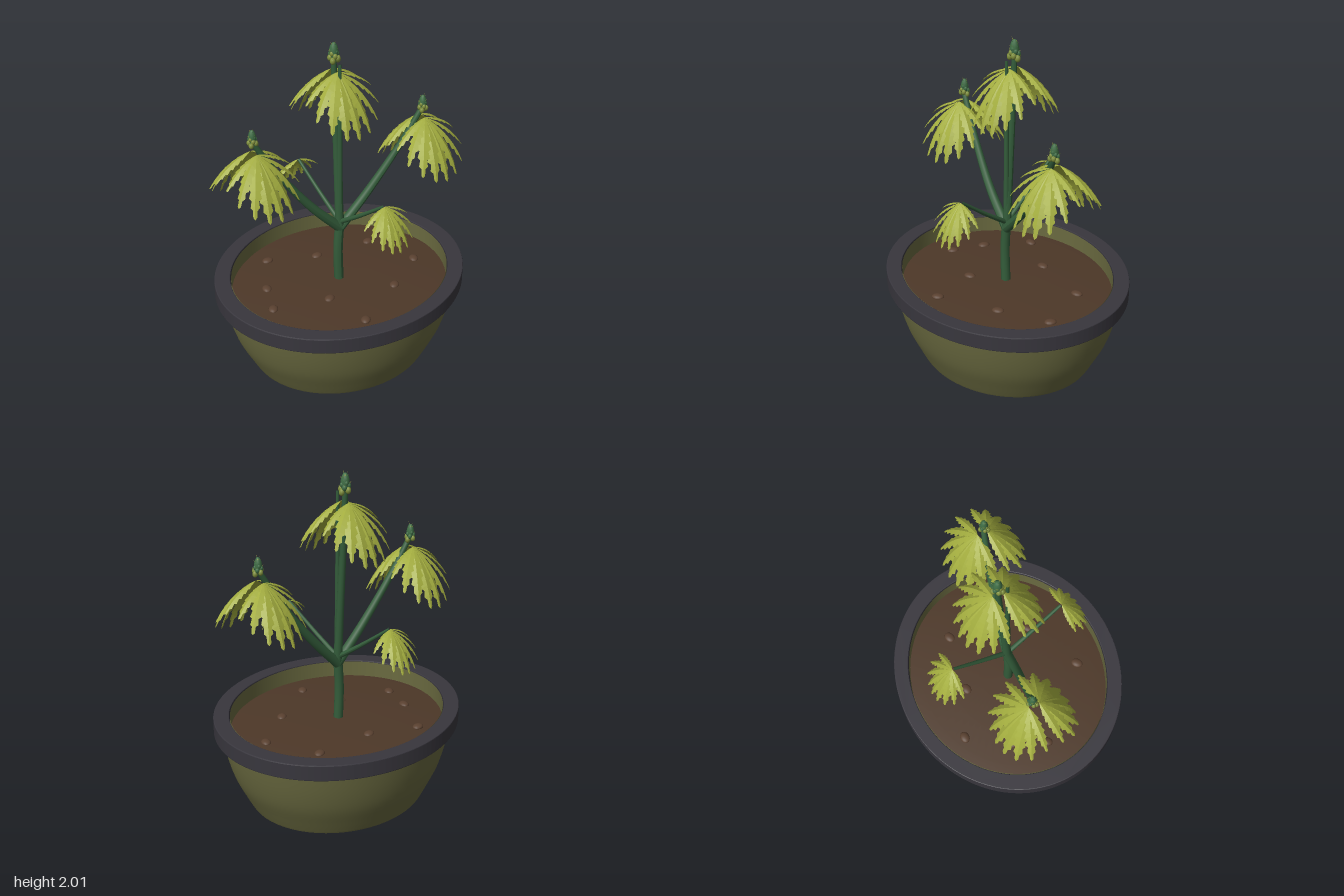
import * as THREE from 'three';

const mat = (name, color, side = THREE.FrontSide) =>
  Object.assign(new THREE.MeshStandardMaterial({ color, side }), { name });

export function createModel() {
  const root = new THREE.Group();
  root.name = 'pottedPlant';
  const M = {
    pot: mat('olive pot', 0x6a6a40, THREE.DoubleSide),
    rim: mat('charcoal rim', 0x38363d),
    soil: mat('dark soil', 0x4d3828, THREE.DoubleSide),
    pebble: mat('brown pebble', 0x5a4130),
    stem: mat('stem green', 0x335c3a),
    leaf: mat('leaf green', 0xa3ad3f, THREE.DoubleSide),
    budLight: mat('bud olive', 0x7f8f3c),
    budDark: mat('bud green', 0x3f6d45),
    hair: mat('bud hair', 0x9aa04a),
  };
  const add = (parent, name, geo, material, x = 0, y = 0, z = 0) => {
    const m = new THREE.Mesh(geo, material);
    m.name = name;
    m.position.set(x, y, z);
    parent.add(m);
    return m;
  };
  const lathe = (pts) => new THREE.LatheGeometry(pts.map(([r, y]) => new THREE.Vector2(r, y)), 64);

  // Oval pot: open wall, inner collar, rim and soil
  const DEPTH = 0.885;
  const pot = new THREE.Group();
  pot.name = 'pot';
  pot.scale.z = DEPTH;
  root.add(pot);
  const wall = new THREE.SplineCurve([[0.575, 0.012], [0.61, 0.08], [0.668, 0.2], [0.707, 0.33], [0.735, 0.47]]
    .map(([x, y]) => new THREE.Vector2(x, y)));
  add(pot, 'potWall', new THREE.LatheGeometry(wall.getPoints(16), 64), M.pot);
  add(pot, 'potFoot', lathe([[0.568, 0], [0.575, 0.012]]), M.pot);
  add(pot, 'innerCollar', lathe([[0.678, 0.44], [0.678, 0.55]]), M.pot);

  const ring = new THREE.Shape().absarc(0, 0, 0.775, 0, Math.PI * 2);
  ring.holes.push(new THREE.Path().absarc(0, 0, 0.687, 0, Math.PI * 2, true));
  const rimGeo = new THREE.ExtrudeGeometry(ring, {
    depth: 0.086, bevelSize: 0.005, bevelThickness: 0.005, bevelSegments: 2, curveSegments: 64,
  });
  rimGeo.rotateX(-Math.PI / 2);
  add(pot, 'rim', rimGeo, M.rim, 0, 0.465, 0);
  add(pot, 'soil', lathe([[0.68, 0.45], [0.6, 0.457], [0.4, 0.468], [0.2, 0.474], [0, 0.476]]), M.soil);

  // Pebbles on the soil
  const pebbleGeo = new THREE.SphereGeometry(0.037, 14, 10).scale(1, 0.45, 0.78);
  [[-0.25, -0.42], [0.025, -0.275], [0.385, -0.22], [-0.18, 0.14], [0.22, 0.255],
    [-0.13, 0.425], [-0.5, 0.02], [0.5, 0.1], [-0.42, -0.17]].forEach(([x, z], i) => {
    add(root, 'pebble', pebbleGeo, M.pebble, x, 0.472 - 0.04 * (x * x + z * z), z).rotation.y = i * 0.15;
  });

  // Tapered stems along a curve
  const stem = (name, pts, r0, r1, seg = 20, sides = 12) => {
    const curve = new THREE.CatmullRomCurve3(pts.map((p) => new THREE.Vector3(...p)));
    const geo = new THREE.TubeGeometry(curve, seg, r0, sides);
    const pos = geo.attributes.position;
    const v = new THREE.Vector3();
    for (let i = 0; i < pos.count; i++) {
      const t = Math.floor(i / (sides + 1)) / seg;
      const c = curve.getPointAt(t);
      v.fromBufferAttribute(pos, i).sub(c).multiplyScalar(THREE.MathUtils.lerp(1, r1 / r0, t)).add(c);
      pos.setXYZ(i, v.x, v.y, v.z);
    }
    geo.computeVertexNormals();
    add(root, name, geo, M.stem);
  };
  stem('trunk', [[-0.006, 0.45, 0], [-0.014, 0.68, 0], [0, 0.88, 0]], 0.029, 0.028);
  stem('centreStake', [[0, 0.8, 0], [0, 1.4, 0], [0, 1.88, 0]], 0.02, 0.009);
  stem('centreBranch', [[0, 0.82, 0], [0, 1.2, -0.022], [0, 1.6, -0.045], [0, 1.9, -0.058]], 0.027, 0.016);

  // Drooping palmate leaf: nine toothed leaflets folded along the midrib, facing +z
  const leafGeometry = () => {
    const out = [];
    const TEETH = 7, ROWS = TEETH * 2;
    for (let k = -4; k <= 4; k++) {
      const az = (k / 4) * 1.5;
      const c = Math.cos(az);
      const len = 0.26 + 0.145 * c;
      const h = new THREE.Vector3(Math.sin(az), 0, c);
      const side = new THREE.Vector3(c, 0, -Math.sin(az));
      const p = new THREE.Vector3(0, 0, 0.02);
      const rows = [];
      for (let i = 0; i <= ROWS; i++) {
        const t = i / ROWS;
        const pitch = 0.14 + 0.5 * c + 0.68 * t;
        const tangent = h.clone().multiplyScalar(Math.cos(pitch));
        tangent.y = -Math.sin(pitch);
        const normal = h.clone().multiplyScalar(Math.sin(pitch));
        normal.y = Math.cos(pitch);
        if (i) p.addScaledVector(tangent, len / ROWS);
        // Wide teeth on odd rows, notches on even rows
        const w = len * 0.1 * Math.pow(Math.sin(Math.PI * Math.pow(t, 0.85)), 0.8) * (i % 2 ? 1.12 : 0.74);
        const edge = (s) => p.clone().addScaledVector(side, s * w).addScaledVector(normal, -0.38 * w)
          .addScaledVector(tangent, i % 2 ? 0.012 : 0);
        rows.push([edge(-1), p.clone(), edge(1)]);
      }
      for (let i = 0; i < ROWS; i++) {
        for (let j = 0; j < 2; j++) {
          const [a, b, d, e] = [rows[i][j], rows[i][j + 1], rows[i + 1][j], rows[i + 1][j + 1]];
          for (const q of [a, d, b, b, d, e]) out.push(q.x, q.y, q.z);
        }
      }
    }
    const geo = new THREE.BufferGeometry();
    geo.setAttribute('position', new THREE.Float32BufferAttribute(out, 3));
    geo.computeVertexNormals();
    return geo;
  };
  const leafGeo = leafGeometry();
  const leaf = (name, x, y, z, turn, size = 1) => {
    const m = add(root, name, leafGeo, M.leaf, x, y, z);
    m.rotation.y = turn;
    m.scale.setScalar(size);
  };

  // Flower bud: spiral of shrinking bracts with fine hairs
  const ball = new THREE.SphereGeometry(1, 10, 8);
  const hairGeo = new THREE.ConeGeometry(0.0025, 0.026, 4).translate(0, 0.013, 0);
  const bud = (x, y, z, size) => {
    const g = new THREE.Group();
    g.name = 'bud';
    g.position.set(x, y, z);
    g.scale.setScalar(size);
    root.add(g);
    add(g, 'budCore', ball, M.budDark, 0, 0.055, 0).scale.set(0.026, 0.062, 0.026);
    for (let i = 0; i < 20; i++) {
      const t = i / 19, a = i * 2.4, r = 0.027 * (1 - 0.75 * t);
      const px = Math.cos(a) * r, pz = Math.sin(a) * r, py = 0.012 + 0.092 * t;
      const s = 0.0165 - 0.008 * t;
      add(g, 'bract', ball, i % 3 && t > 0.25 ? M.budDark : M.budLight, px, py, pz).scale.set(s, s * 1.25, s);
      if (i % 2) {
        const hair = add(g, 'budHair', hairGeo, M.hair, px, py + 0.006, pz);
        hair.quaternion.setFromUnitVectors(new THREE.Vector3(0, 1, 0),
          new THREE.Vector3(Math.cos(a), 0.9 + t, Math.sin(a)).normalize());
      }
    }
  };

  // Top crown
  leaf('crownLeafFront', 0, 1.825, -0.045, 0);
  leaf('crownLeafBack', 0, 1.825, -0.065, Math.PI);
  bud(0, 1.872, -0.057, 1.02);

  // Side branches with crowns, and small low leaves on thin stalks
  for (const s of [1, -1]) {
    stem('sideBranch', [[0, 0.83, 0], [s * 0.18, 1.02, s * 0.025], [s * 0.38, 1.29, s * 0.07],
      [s * 0.512, 1.51, s * 0.105]], 0.03, 0.016);
    leaf('sideLeafFront', s * 0.515, 1.455, s * 0.1 + 0.01, s > 0 ? 0.05 : 0.1);
    leaf('sideLeafBack', s * 0.515, 1.455, s * 0.1 - 0.01, Math.PI + (s > 0 ? 0.1 : 0.05));
    bud(s * 0.512, 1.49, s * 0.11, 0.88);

    stem('leafStalk', [[0, 0.87, 0], [s * 0.017, 0.99, s * 0.17], [s * 0.037, 1.14, s * 0.365]], 0.015, 0.009);
    leaf('lowLeaf', s * 0.037, 1.14, s * 0.355, s > 0 ? 0.03 : Math.PI + 0.03, 0.7);
  }
  return root;
}
